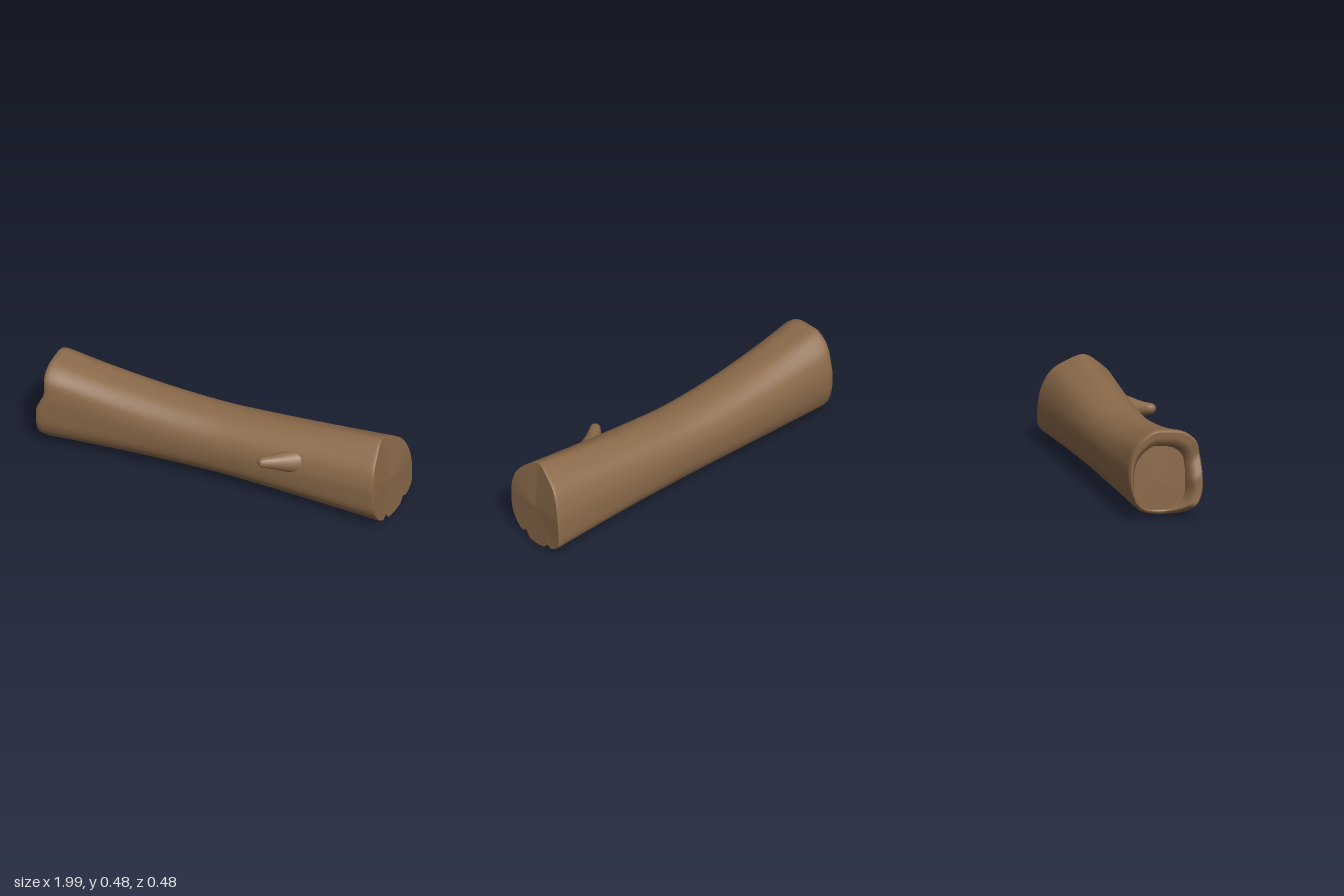
import * as THREE from 'three';

const N = 96; // points around each ring
const smooth = THREE.MathUtils.smoothstep;

// Cross-sections as [z, y], starting at the top and running over the front side
const LEFT = [[-.02, .49], [.08, .475], [.15, .42], [.17, .34], [.175, .24], [.172, .14], [.14, .07], [.07, .025],
  [-.02, .015], [-.11, .025], [-.17, .06], [-.205, .13], [-.22, .22], [-.215, .31], [-.18, .41], [-.09, .485]];
const MIDDLE = [[-.03, .387], [.05, .37], [.11, .32], [.137, .26], [.14, .19], [.125, .12], [.09, .07], [.04, .04],
  [-.03, .027], [-.11, .03], [-.165, .055], [-.2, .11], [-.213, .19], [-.205, .27], [-.165, .34], [-.1, .378]];
const RIGHT = [[0, .477], [.08, .43], [.15, .36], [.178, .28], [.18, .2], [.17, .11], [.13, .05], [.08, .016],
  [0, 0], [-.1, .01], [-.17, .035], [-.23, .08], [-.238, .17], [-.22, .29], [-.17, .39], [-.09, .445]];

function outline(points) {
  const curve = new THREE.CatmullRomCurve3(points.map(([z, y]) => new THREE.Vector3(0, y, z)), true);
  return Array.from({ length: N }, (_, j) => curve.getPoint(j / N));
}

// Skin a list of closed rings that run towards +x
function loft(rings) {
  const n = rings[0].length, index = [];
  for (let i = 0; i < rings.length - 1; i++) {
    for (let j = 0; j < n; j++) {
      const a = i * n + j, b = i * n + (j + 1) % n;
      index.push(a, b, a + n, b, b + n, a + n);
    }
  }
  const geometry = new THREE.BufferGeometry().setFromPoints(rings.flat());
  geometry.setIndex(index);
  geometry.computeVertexNormals();
  return geometry;
}

// Shrink a ring towards a centre, moving its points along x as well
const shrink = (ring, centre, k) => ring.map((p) => centre.clone().lerp(p, k));

// Uneven saw lines of the two ends
function leftX(p) {
  const lip = smooth(p.z, 0, .14) * (1 - smooth(p.y, .22, .36));
  return -.955 - .015 * smooth(p.y, .35, .47) - .045 * lip + .045 * (1 - smooth(p.y, .01, .08));
}
function rightX(p) {
  const up = Math.max(0, p.y - .2) / .275;
  return .975 - .08 * p.z - .045 * up * up;
}

export function createModel() {
  const model = new THREE.Group();
  const bark = new THREE.MeshStandardMaterial({ color: 0x8b6a4a });
  bark.name = 'brown wood';
  const add = (name, geometry) => {
    const mesh = new THREE.Mesh(geometry, bark);
    mesh.name = name;
    model.add(mesh);
  };

  const left = outline(LEFT), middle = outline(MIDDLE), right = outline(RIGHT);

  // One ring of the trunk, t from -1 (left end) to 1 (right end)
  function trunkRing(t, scale = 1) {
    const end = t < 0 ? left : right;
    const blend = Math.pow(Math.abs(t), t < 0 ? 1.8 : 1.3);
    return middle.map((m, j) => {
      const p = m.clone().lerp(end[j], blend);
      p.x = Math.abs(t) * (t < 0 ? leftX(end[j]) : rightX(end[j]));
      // Two splits in the underside near the right end
      if (t > .7 && p.y < .12) {
        const split = (z, w) => Math.exp(-(((p.z - z) / w) ** 2));
        p.y += smooth(t, .75, 1) * (.034 * split(.05, .018) + .026 * split(-.14, .02));
      }
      p.y = .22 + (p.y - .22) * scale;
      p.z = -.025 + (p.z + .025) * scale;
      return p;
    });
  }

  // Trunk with softened edges
  const rings = [trunkRing(-1, .94), trunkRing(-.99, .98)];
  for (let i = 0; i <= 36; i++) rings.push(trunkRing(-.965 + i / 36 * 1.945));
  rings.push(trunkRing(.993, .995), trunkRing(1, .985));
  add('trunk', loft(rings));

  // Right end face
  const rightEdge = rings[rings.length - 1];
  const rightCentre = new THREE.Vector3(.968, .22, -.02);
  add('rightEndFace', loft([1, .7, .35, 0].map((k) => shrink(rightEdge, rightCentre, k))));

  // Left end: raised rim, thicker at the top and front, around a sunken face
  const leftEdge = rings[0];
  const rimCentre = new THREE.Vector3(-.945, .1, -.13);
  const rimInner = shrink(leftEdge, rimCentre, .82);
  const sunken = shrink(leftEdge, rimCentre, .77).map((p) => p.setX(-.905));
  add('leftRim', loft([sunken, rimInner, shrink(leftEdge, rimCentre, .92), leftEdge]));
  const leftCentre = new THREE.Vector3(-.91, .2, -.05);
  add('leftEndFace', loft([0, .5, 1].map((k) => shrink(sunken, leftCentre, k))));

  // Broken branch stub: [x, y, z, radius] from tip to root
  const stub = [[.318, .299, .236, 0], [.32, .299, .235, .016], [.328, .298, .226, .027], [.345, .296, .21, .032],
    [.375, .29, .185, .038], [.41, .284, .155, .05], [.45, .28, .125, .062], [.5, .28, .09, .07]];
  const along = new THREE.Vector3(.7, 0, -.72).normalize();
  const side = new THREE.Vector3(.72, 0, .7).normalize();
  const up = new THREE.Vector3().crossVectors(side, along).negate();
  add('branchStub', loft(stub.map(([x, y, z, r]) => Array.from({ length: 16 }, (_, j) => {
    const a = j / 16 * Math.PI * 2;
    return new THREE.Vector3(x, y, z).addScaledVector(up, Math.cos(a) * r * Math.sign(up.y))
      .addScaledVector(side, Math.sin(a) * r);
  }))));

  return model;
}
